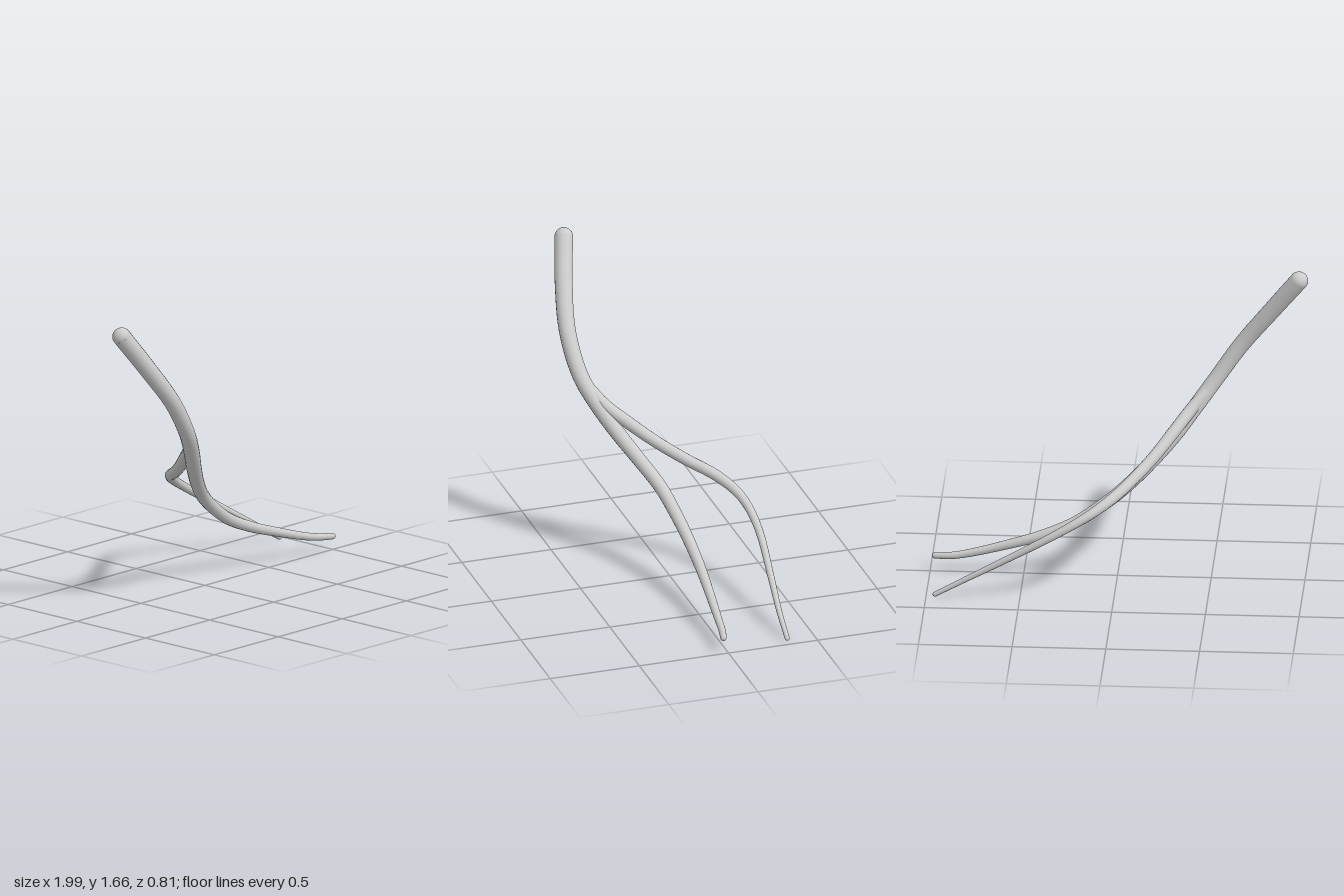
import * as THREE from 'three';

const material = new THREE.MeshStandardMaterial({ color: 0xcccccc });

// Tapered round limb; each point is [x, y, z, radius]
function limb(name, points, segments = 72, sides = 16) {
  const group = new THREE.Group();
  group.name = name;
  const curve = new THREE.CatmullRomCurve3(points.map(([x, y, z]) => new THREE.Vector3(x, y, z)), false, 'centripetal');
  const geometry = new THREE.TubeGeometry(curve, segments, 1, sides);
  const pos = geometry.attributes.position;
  const v = new THREE.Vector3();
  for (let i = 0; i <= segments; i++) {
    const centre = curve.getPointAt(i / segments);
    const t = curve.getUtoTmapping(i / segments) * (points.length - 1);
    const k = Math.min(Math.floor(t), points.length - 2);
    const radius = THREE.MathUtils.lerp(points[k][3], points[k + 1][3], t - k);
    for (let j = 0; j <= sides; j++) {
      const n = i * (sides + 1) + j;
      v.fromBufferAttribute(pos, n).sub(centre).multiplyScalar(radius).add(centre);
      pos.setXYZ(n, v.x, v.y, v.z);
    }
  }
  const tube = new THREE.Mesh(geometry, material);
  tube.name = name + 'Tube';
  group.add(tube);

  // Domed ends, facing outward along the limb
  [0, 1].forEach((u) => {
    const [x, y, z, r] = points[u * (points.length - 1)];
    const dome = new THREE.Mesh(new THREE.SphereGeometry(r, sides, 8, 0, Math.PI * 2, 0, Math.PI / 2), material);
    const outward = curve.getTangentAt(u).multiplyScalar(u ? 1 : -1);
    dome.quaternion.setFromUnitVectors(new THREE.Vector3(0, 1, 0), outward);
    dome.position.set(x, y, z);
    dome.name = name + (u ? 'Tip' : 'Base');
    group.add(dome);
  });
  return group;
}

export function createModel() {
  const model = new THREE.Group();
  model.name = 'forkedBranch';

  // Thick stem running on into the front fork
  model.add(limb('stemAndFrontFork', [
    [-0.95, 1.62, 0.28, 0.05],
    [-0.8, 1.42, 0.33, 0.048],
    [-0.64, 1.21, 0.361, 0.045],
    [-0.5, 1.01, 0.335, 0.043],
    [-0.4, 0.88, 0.275, 0.043],
    [-0.3, 0.755, 0.2, 0.041],
    [-0.19, 0.64, 0.12, 0.038],
    [-0.05, 0.515, 0.035, 0.036],
    [0.08, 0.415, -0.005, 0.034],
    [0.22, 0.325, -0.03, 0.032],
    [0.4, 0.245, -0.036, 0.029],
    [0.6, 0.178, -0.025, 0.025],
    [0.8, 0.118, -0.008, 0.021],
    [0.9, 0.097, 0.003, 0.019],
    [0.975, 0.09, 0.02, 0.017],
  ]));

  // Thinner fork splitting off and arching to the back
  model.add(limb('backFork', [
    [-0.47, 0.975, 0.315, 0.03],
    [-0.38, 0.88, 0.24, 0.034],
    [-0.29, 0.79, 0.125, 0.034],
    [-0.2, 0.705, 0.005, 0.032],
    [-0.1, 0.63, -0.125, 0.031],
    [0, 0.57, -0.25, 0.03],
    [0.1, 0.515, -0.33, 0.027],
    [0.2, 0.46, -0.37, 0.024],
    [0.35, 0.373, -0.387, 0.021],
    [0.6, 0.225, -0.369, 0.018],
    [0.8, 0.108, -0.351, 0.015],
    [0.952, 0.021, -0.345, 0.013],
  ]));

  return model;
}
